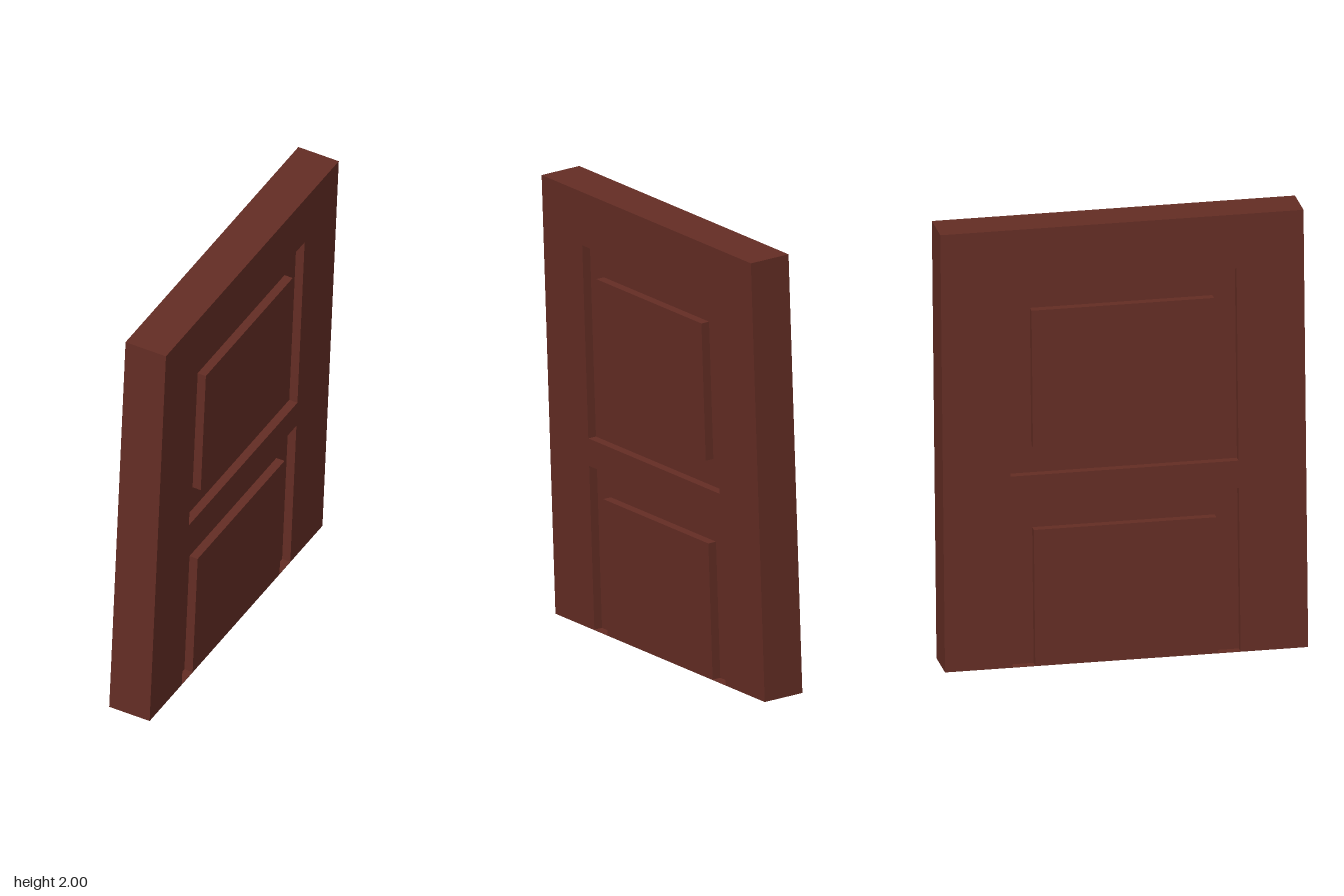
import * as THREE from 'three';

const H = 1.988, W = 1.592, T = 0.197, D = 0.04; // slab height, width, thickness, groove depth
const BOTTOM = -H / 2;

function rect(path, halfW, y0, y1) {
  path.moveTo(-halfW, y0);
  path.lineTo(halfW, y0);
  path.lineTo(halfW, y1);
  path.lineTo(-halfW, y1);
  path.closePath();
  return path;
}

export function createModel() {
  const wood = new THREE.MeshStandardMaterial({ color: 0x642d24 });
  wood.name = 'reddish brown wood';

  const model = new THREE.Group();
  model.name = 'doorSlab';
  const add = (geometry, name, parent) => {
    const mesh = new THREE.Mesh(geometry, wood);
    mesh.name = name;
    parent.add(mesh);
    return mesh;
  };

  // Leaning slab, slightly twisted about its length
  const door = new THREE.Group();
  door.name = 'door';
  door.position.y = 1;
  door.rotation.set(-0.003, 0, -0.0385);
  model.add(door);

  // Core between the two grooved faces
  add(new THREE.BoxGeometry(T - 2 * D, H, W), 'core', door);

  // Panels: opening bottom and top, raised field bottom and top
  const panels = [
    { name: 'upperPanel', hole: [-0.125, 0.75], field: [0, 0.622] },
    { name: 'lowerPanel', hole: [BOTTOM + 0.002, -0.25], field: [BOTTOM, -0.375] },
  ];

  // Each broad face: a frame with two openings and a raised field in each
  for (const side of [1, -1]) {
    const face = new THREE.Group();
    face.name = side > 0 ? 'leftFace' : 'rightFace';
    face.rotation.y = side * Math.PI / 2;
    face.position.x = side * (T / 2 - D);
    door.add(face);

    const frame = rect(new THREE.Shape(), W / 2, BOTTOM, H / 2);
    for (const { hole } of panels) frame.holes.push(rect(new THREE.Path(), 0.5, ...hole));
    add(new THREE.ExtrudeGeometry(frame, { depth: D, bevelEnabled: false }), 'frame', face);

    for (const { name, field: [y0, y1] } of panels) {
      const bottom = Math.max(y0, BOTTOM + 0.002);
      const raised = add(new THREE.BoxGeometry(0.8, y1 - bottom, D), name, face);
      raised.position.set(0, (bottom + y1) / 2, D / 2);
    }
  }
  return model;
}
